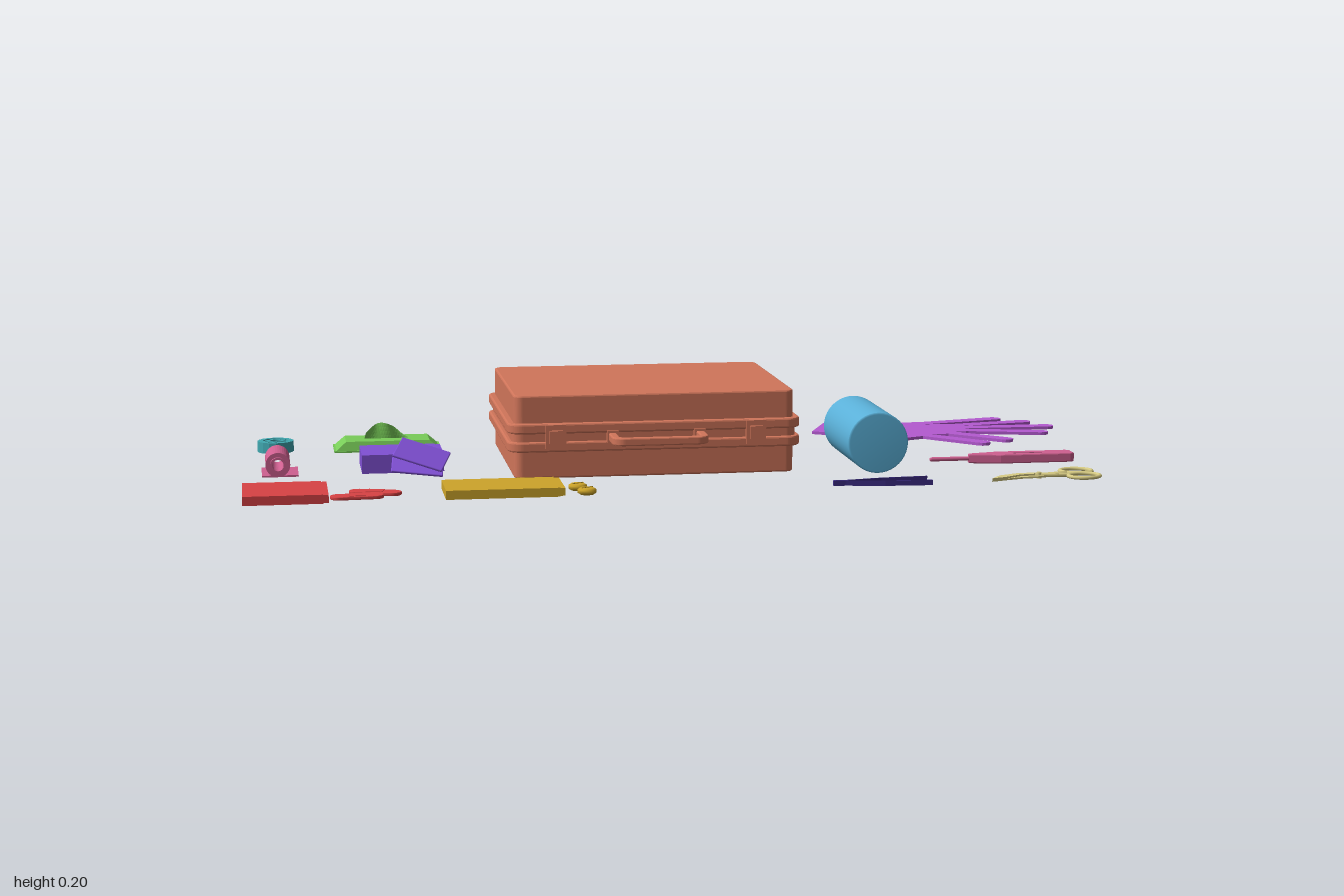
import * as THREE from 'three';
import { RoundedBoxGeometry } from 'three/addons/geometries/RoundedBoxGeometry.js';

const mat = (color, flat = false) =>
  new THREE.MeshStandardMaterial({ color, side: THREE.DoubleSide, flatShading: flat });
const CASE = mat(0xd0755a), BLUE = mat(0x5ab0d8), GLOVE = mat(0xb45ad0), RED = mat(0xd84244),
  GOLD = mat(0xcda42a), VIOLET = mat(0x8050d4), GREEN = mat(0x78cc58, true), PINK = mat(0xcf6090),
  TEAL = mat(0x40a8b0), BEIGE = mat(0xd8cc84), NAVY = mat(0x3a2a80);

export function createModel() {
  const root = new THREE.Group();

  const add = (name, geo, material, x = 0, y = 0, z = 0, parent = root) => {
    const m = new THREE.Mesh(geo, material);
    m.name = name;
    m.position.set(x, y, z);
    parent.add(m);
    return m;
  };
  const group = (name) => {
    const g = new THREE.Group();
    g.name = name;
    root.add(g);
    return g;
  };
  const box = (w, h, d) => new THREE.BoxGeometry(w, h, d);
  const cyl = (r, h, n = 24) => new THREE.CylinderGeometry(r, r, h, n);

  // Lays a shape drawn in (x, -z) flat on the ground and thickens it upwards
  const flat = (shape, h, bevel = 0) => {
    const g = new THREE.ExtrudeGeometry(shape, {
      depth: h - 2 * bevel, bevelEnabled: bevel > 0, bevelSize: bevel,
      bevelOffset: -bevel, bevelThickness: bevel, bevelSegments: 2, curveSegments: 8,
    });
    return g.translate(0, 0, bevel).rotateX(-Math.PI / 2);
  };
  const plan = (pts) => new THREE.Shape(pts.map(([x, z]) => new THREE.Vector2(x, -z)));
  const roundRect = (w, d, r) => {
    const s = new THREE.Shape(), a = w / 2 - r, b = d / 2 - r;
    s.absarc(a, b, r, 0, Math.PI / 2);
    s.absarc(-a, b, r, Math.PI / 2, Math.PI);
    s.absarc(-a, -b, r, Math.PI, Math.PI * 1.5);
    s.absarc(a, -b, r, Math.PI * 1.5, Math.PI * 2);
    s.closePath();
    return s;
  };
  const tube = (pts, r, tension = 0.5) => new THREE.TubeGeometry(
    new THREE.CatmullRomCurve3(pts.map((p) => new THREE.Vector3(...p)), false, 'catmullrom', tension),
    40, r, 8);

  // Case: two shells, a rim on each, hinges, latches and handle
  const kit = group('case');
  const cx = -0.067, cz = -0.087;
  add('lowerShell', flat(roundRect(0.645, 0.49, 0.02), 0.093, 0.004), CASE, cx, 0.008, cz, kit);
  add('upperShell', flat(roundRect(0.645, 0.49, 0.02), 0.1, 0.004), CASE, cx, 0.098, cz, kit);
  add('seam', flat(roundRect(0.655, 0.5, 0.025), 0.025), CASE, cx, 0.09, cz, kit);
  for (const y of [0.07, 0.112])
    add('rim', flat(roundRect(0.675, 0.52, 0.035), 0.023, 0.004), CASE, cx, y, cz, kit);
  for (const s of [-1, 1]) {
    add('hinge', cyl(0.006, 0.175, 10).rotateZ(Math.PI / 2), CASE, cx + s * 0.16, 0.103, -0.35, kit);
    add('latchPlate', box(0.046, 0.055, 0.014), CASE, cx + s * 0.23, 0.106, 0.174, kit);
    add('latchClip', box(0.03, 0.03, 0.012), CASE, cx + s * 0.23, 0.106, 0.184, kit);
    add('handleMount', box(0.026, 0.028, 0.014), CASE, cx + s * 0.1, 0.103, 0.173, kit);
  }
  const grip = roundRect(0.22, 0.12, 0.028);
  grip.holes.push(roundRect(0.184, 0.084, 0.014));
  add('handle', flat(grip, 0.018, 0.003), CASE, cx, 0.094, 0.2, kit);

  // Bottle lying along z, with a ribbed cap
  const bottle = group('bottle');
  const profile = [[0, 0], [0.066, 0], [0.07, 0.004], [0.07, 0.004], [0.07, 0.268], [0.066, 0.278],
    [0.036, 0.306], [0.026, 0.31], [0.026, 0.32]].map(([r, h]) => new THREE.Vector2(r, h));
  add('bottleBody', new THREE.LatheGeometry(profile, 40).rotateX(-Math.PI / 2), BLUE, 0.44, 0.08, 0.222, bottle);
  add('bottleCap', cyl(0.029, 0.036, 28).rotateX(Math.PI / 2), BLUE, 0.44, 0.08, -0.109, bottle);
  for (const z of [-0.09, -0.098])
    add('capRing', new THREE.TorusGeometry(0.029, 0.0025, 6, 32), BLUE, 0.44, 0.08, z, bottle);
  for (let i = 0; i < 24; i++) {
    const a = (i / 24) * Math.PI * 2;
    add('capRib', box(0.003, 0.003, 0.022), BLUE,
      0.44 + 0.029 * Math.cos(a), 0.08 + 0.029 * Math.sin(a), -0.115, bottle);
  }

  // Gloves: flat outline, each finger from base to rounded tip
  const fingers = [[0.68, -0.33, 0.88, -0.379], [0.76, -0.29, 0.942, -0.325], [0.77, -0.255, 0.98, -0.25],
    [0.77, -0.21, 0.94, -0.165], [0.72, -0.175, 0.825, -0.072], [0.65, -0.15, 0.757, -0.034]];
  const outline = [[0.385, -0.25], [0.44, -0.375], [0.53, -0.355], [0.6, -0.355]];
  for (const [bx, bz, tx, tz] of fingers) {
    const a = Math.atan2(tz - bz, tx - bx), w = 0.0185;
    const side = (x, z, t) => outline.push([x + w * Math.cos(a + t), z + w * Math.sin(a + t)]);
    side(bx, bz, -Math.PI / 2);
    for (let i = 0; i <= 6; i++) side(tx, tz, -Math.PI / 2 + (i * Math.PI) / 6);
    side(bx, bz, Math.PI / 2);
  }
  outline.push([0.58, -0.115], [0.5, -0.175]);
  add('gloves', flat(plan(outline), 0.007), GLOVE, 0, 0.026, 0);

  // Flat cartons with a lip along the right edge
  const carton = (name, m, x0, x1, z0, z1, h) => {
    const g = group(name), w = x1 - x0, d = z1 - z0;
    add('cartonBody', box(w - 0.012, h, d), m, (x0 + x1 - 0.012) / 2, 0.008 + h / 2, (z0 + z1) / 2, g);
    add('cartonFlap', box(0.012, h - 0.003, d - 0.004), m, x1 - 0.006, 0.008 + h / 2, (z0 + z1) / 2, g);
    return g;
  };
  carton('bandageCarton', RED, -1, -0.815, 0.222, 0.39, 0.02);
  carton('pillCarton', GOLD, -0.562, -0.3, 0.25, 0.387, 0.02);
  carton('wipeCarton', VIOLET, -0.728, -0.54, -0.105, 0.035, 0.043);

  // Plasters
  for (const [x, z, turn] of [[-0.71, 0.284, -0.3], [-0.752, 0.327, 0.06]]) {
    const p = add('plaster', flat(roundRect(0.118, 0.04, 0.0195), 0.008, 0.002), RED, x, 0.006, z);
    p.rotation.y = turn;
    add('plasterPad', box(0.036, 0.002, 0.032), RED, 0, 0.008, 0, p);
  }

  // Pills with a score line
  for (const [x, z] of [[-0.262, 0.29], [-0.248, 0.345]]) {
    const s = [[0, 0], [0.015, 0], [0.021, 0.004], [0.021, 0.011], [0.015, 0.015], [0, 0.015]];
    const p = add('pill', new THREE.LatheGeometry(s.map((v) => new THREE.Vector2(...v)), 24), GOLD, x, 0.004, z);
    add('pillScore', box(0.03, 0.002, 0.003), GOLD, 0, 0.0155, 0, p).rotation.y = 0.5;
  }

  // Wipe packets leaning on their carton
  for (const [x, y, z, ry, rz] of [[-0.593, 0.054, 0.062, -0.3, -0.22], [-0.603, 0.032, 0.066, -0.1, -0.08]]) {
    const p = add('wipePacket', new RoundedBoxGeometry(0.118, 0.006, 0.095, 2, 0.0025), VIOLET, x, y, z);
    p.rotation.set(0.3, ry, rz);
  }

  // Tissue pack: tapered block on a thin base, with a wavy tissue on top
  const tissue = group('tissuePack');
  const block = box(0.25, 0.022, 0.106), bp = block.attributes.position;
  for (let i = 0; i < bp.count; i++)
    if (bp.getY(i) > 0) bp.setXYZ(i, bp.getX(i) * 0.8, bp.getY(i), bp.getZ(i) * 0.88);
  add('packBody', block, GREEN, -0.653, 0.022, -0.315, tissue);
  add('packEdge', box(0.257, 0.004, 0.112), GREEN, -0.653, 0.01, -0.315, tissue);
  const sheet = new THREE.PlaneGeometry(0.11, 0.04, 16, 4), sp = sheet.attributes.position;
  for (let i = 0; i < sp.count; i++) {
    const u = sp.getX(i) / 0.055, v = sp.getY(i) / 0.04 + 0.5;
    sp.setXYZ(i, sp.getX(i) * (1 - 0.25 * v) - 0.01 * v, v * 0.04 * (1 - 0.6 * u * u), 0.006 * Math.sin(u * 5) * v);
  }
  add('tissueSheet', sheet, GREEN, -0.653, 0.031, -0.31, tissue);

  // Gauze roll with a loose tail
  const ring = (R, r) => {
    const s = new THREE.Shape().absarc(0, 0, R, 0, Math.PI * 2);
    s.holes.push(new THREE.Path().absarc(0, 0, r, 0, Math.PI * 2));
    return s;
  };
  const tubeRing = (R, r, len) => new THREE.ExtrudeGeometry(ring(R, r), { depth: len, bevelEnabled: false, curveSegments: 16 });
  const gauze = group('gauzeRoll');
  add('rollOuter', tubeRing(0.028, 0.016, 0.11), PINK, -0.919, 0.036, -0.062, gauze);
  add('rollCore', tubeRing(0.018, 0.013, 0.124), PINK, -0.919, 0.036, -0.069, gauze);
  add('rollTail', box(0.083, 0.004, 0.11), PINK, -0.914, 0.01, -0.007, gauze);

  // Tape reel: ring with notched hub
  const tape = group('tapeReel');
  add('tapeRing', flat(ring(0.043, 0.03), 0.026), TEAL, -0.92, 0.009, -0.305, tape);
  add('tapeHub', flat(ring(0.02, 0.013), 0.026), TEAL, -0.92, 0.009, -0.305, tape);
  add('tapeWeb', flat(ring(0.032, 0.014), 0.012), TEAL, -0.92, 0.016, -0.305, tape);
  for (let i = 0; i < 10; i++) {
    const a = (i / 10) * Math.PI * 2;
    add('tapeSpoke', box(0.014, 0.024, 0.006), TEAL,
      -0.92 + 0.025 * Math.cos(a), 0.022, -0.305 + 0.025 * Math.sin(a), tape).rotation.y = -a;
  }

  // Thermometer: broad handle tapering to a thin probe
  const thermo = group('thermometer');
  add('thermometerBody', flat(plan([[0.68, 0.116], [0.752, 0.1], [0.92, 0.1], [0.93, 0.105], [0.93, 0.14],
    [0.92, 0.145], [0.752, 0.145], [0.68, 0.128]]), 0.022, 0.003), PINK, 0, 0.01, 0, thermo);
  add('thermometerProbe', new THREE.CapsuleGeometry(0.005, 0.09, 4, 10).rotateZ(Math.PI / 2), PINK, 0.636, 0.021, 0.122, thermo);
  add('thermometerScreen', box(0.07, 0.002, 0.022), PINK, 0.82, 0.0325, 0.122, thermo);

  // Curved scissors: two crossing blades with finger loops
  const scissors = group('scissors');
  for (const [s, loopZ] of [[1, 0.251], [-1, 0.315]]) {
    const o = s * 0.006;
    add('blade', flat(plan([[0.677, 0.338], [0.705, 0.309 - o], [0.75, 0.288 - o], [0.8, 0.284 - o], [0.845, 0.283 + o],
      [0.845, 0.295 + o], [0.8, 0.3 - o], [0.755, 0.305 - o], [0.712, 0.325]]), 0.004), BEIGE, 0, s > 0 ? 0.008 : 0.004, 0, scissors);
    add('shank', tube([[0.79, 0.008, 0.292], [0.835, 0.008, 0.29 - s * 0.006], [0.872, 0.008, loopZ + s * 0.018]], 0.005), BEIGE, 0, 0, 0, scissors);
    const loop = add('fingerLoop', new THREE.TorusGeometry(0.029, 0.0045, 8, 32).rotateX(Math.PI / 2), BEIGE, 0.9, 0.008, loopZ, scissors);
    loop.scale.x = 1.25;
    loop.rotation.y = -s * 0.12;
  }
  add('pivot', cyl(0.006, 0.014, 12), BEIGE, 0.8, 0.008, 0.292, scissors);

  // Tweezers: two thin upright strips meeting at one end
  const tweezers = group('tweezers');
  for (const s of [-1, 1])
    add('arm', flat(plan([[0.315, 0.314], [0.345, 0.314 + s * 0.004], [0.43, 0.314 + s * 0.02], [0.538, 0.314 + s * 0.027],
      [0.538, 0.314 + s * 0.024], [0.43, 0.314 + s * 0.017], [0.345, 0.314 + s * 0.001]]), 0.012), NAVY, 0, 0.001, 0, tweezers);
  add('joint', box(0.03, 0.012, 0.007), NAVY, 0.33, 0.007, 0.314, tweezers);

  return root;
}
